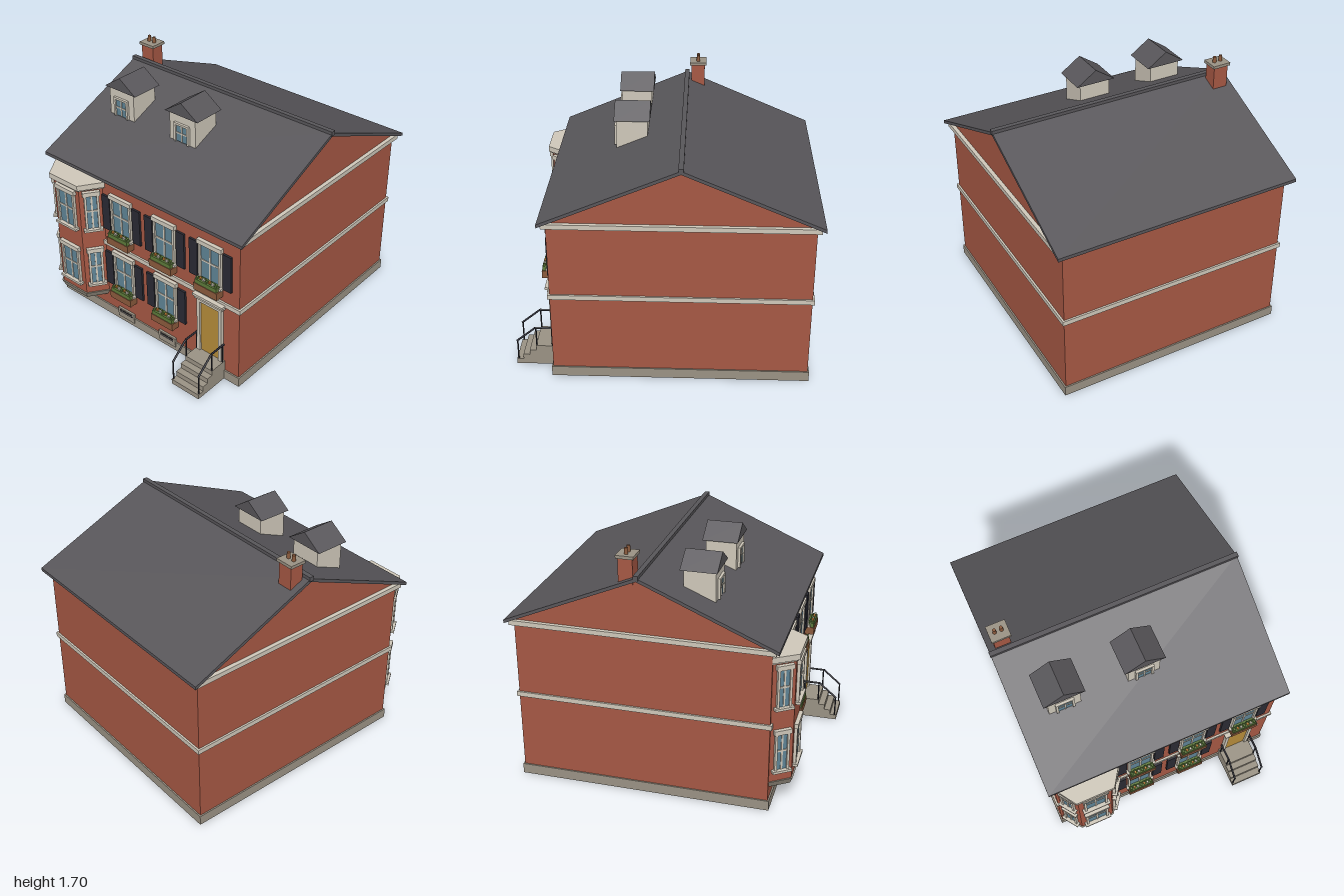
import * as THREE from 'three';

const mat = (name, color) => {
  const m = new THREE.MeshStandardMaterial({ color });
  m.name = name;
  return m;
};

export function createModel() {
  const brick = mat('brick', 0xa65844), trim = mat('cream trim', 0xcfc8ba), slate = mat('slate', 0x58565a);
  const stone = mat('stone', 0x9a9284), glass = mat('glass', 0x5f8496), black = mat('black paint', 0x2a2a33);
  const wood = mat('wood', 0x8a5a3c), leaf = mat('leaf', 0x5d7a3a), ochre = mat('ochre door', 0xb58b3a);
  const bloom = mat('orange bloom', 0xd08a3a);

  const house = new THREE.Group();
  house.name = 'townHouse';
  const WALL = 0.735, MID = -0.105;

  const add = (parent, name, geo, material) => {
    const m = new THREE.Mesh(geo, material);
    m.name = name;
    parent.add(m);
    return m;
  };
  const group = (parent, name, x = 0, y = 0, z = 0, ry = 0) => {
    const g = new THREE.Group();
    g.name = name;
    g.position.set(x, y, z);
    g.rotation.y = ry;
    parent.add(g);
    return g;
  };
  // box given by its limits on each axis
  const box = (parent, name, material, x0, x1, y0, y1, z0, z1) => {
    const m = add(parent, name, new THREE.BoxGeometry(x1 - x0, y1 - y0, z1 - z0), material);
    m.position.set((x0 + x1) / 2, (y0 + y1) / 2, (z0 + z1) / 2);
    return m;
  };
  const extrude = (pts, depth) => new THREE.ExtrudeGeometry(
    new THREE.Shape(pts.map(p => new THREE.Vector2(...p))), { depth, bevelEnabled: false });
  // (z, y) outline extruded across the width
  const acrossX = (parent, name, material, pts, half) => {
    const geo = extrude(pts.map(([z, y]) => [-z, y]), 2 * half).translate(0, 0, -half).rotateY(Math.PI / 2);
    return add(parent, name, geo, material);
  };

  // main walls, gables and stone courses
  box(house, 'walls', brick, -0.805, 0.805, 0.01, 1.15, MID - 0.84, WALL);
  acrossX(house, 'gables', brick, [[WALL, 1.15], [MID, 1.517], [MID - 0.84, 1.15]], 0.805);
  const course = (name, m, out, y0, y1) =>
    box(house, name, m, -0.805 - out, 0.805 + out, y0, y1, MID - 0.84 - out, WALL + out);
  course('plinth', stone, 0.01, 0, 0.07);
  course('beltCourse', trim, 0.013, 0.597, 0.63);
  course('cornice', trim, 0.027, 1.117, 1.15);

  // main roof
  const e = 0.89;
  acrossX(house, 'roof', slate, [[MID + e, 1.16], [MID, 1.54], [MID - e, 1.16],
    [MID - e, 1.137], [MID, 1.517], [MID + e, 1.137]], 0.855);
  box(house, 'ridgeCap', slate, -0.86, 0.86, 1.525, 1.555, MID - 0.016, MID + 0.016);

  // chimney
  const chimney = group(house, 'chimney', -0.757, 0, -0.185);
  box(chimney, 'stack', brick, -0.053, 0.053, 1.44, 1.642, -0.047, 0.047);
  box(chimney, 'chimneyCap', stone, -0.065, 0.065, 1.642, 1.662, -0.058, 0.058);
  for (const x of [-0.023, 0.023]) {
    add(chimney, 'chimneyPot', new THREE.CylinderGeometry(0.011, 0.013, 0.04, 12), wood).position.set(x, 1.682, 0);
  }

  // sash window: origin at the middle of the sill, facing +z
  const sash = (parent, x, y, z, ry, halfGlass, h = 0.26) => {
    const g = group(parent, 'window', x, y, z, ry);
    const f = halfGlass + 0.016;
    box(g, 'glass', glass, -halfGlass, halfGlass, 0, h, 0, 0.008);
    for (const s of [-1, 1]) {
      box(g, 'jamb', trim, Math.min(s * halfGlass, s * f), Math.max(s * halfGlass, s * f), 0, h, 0, 0.02);
    }
    box(g, 'mullion', trim, -0.006, 0.006, 0, h, 0, 0.013);
    box(g, 'meetingRail', trim, -halfGlass, halfGlass, h * 0.53 - 0.006, h * 0.53 + 0.006, 0, 0.013);
    box(g, 'lintel', trim, -f - 0.009, f + 0.009, h, h + 0.032, 0, 0.026);
    box(g, 'sill', trim, -f - 0.015, f + 0.015, -0.017, 0, 0, 0.034);
    return g;
  };

  // planted box below a window
  const planter = (g) => {
    const p = group(g, 'windowBox');
    box(p, 'trough', wood, -0.096, 0.096, -0.075, -0.022, 0, 0.062);
    box(p, 'foliage', leaf, -0.088, 0.088, -0.022, 0.008, 0.01, 0.058);
    for (let i = 0; i < 7; i++) {
      const x = -0.075 + i * 0.025, y = 0.006 + (i * 5 % 3) * 0.004;
      const bush = add(p, 'leafTuft', new THREE.IcosahedronGeometry(0.014, 0), leaf);
      bush.position.set(x, y, 0.034);
      const m = i % 3 === 1 ? bloom : i % 3 === 2 ? trim : leaf;
      box(p, 'flower', m, x - 0.007, x + 0.007, y + 0.003, y + 0.017, 0.038, 0.052);
    }
  };

  // flat front windows with shutters
  for (const [x, y] of [[-0.195, 0.287], [0.19, 0.287], [-0.195, 0.742], [0.19, 0.742], [0.575, 0.742]]) {
    const g = sash(house, x, y, WALL, 0, 0.074);
    planter(g);
    for (const s of [-1, 1]) {
      box(g, 'shutter', black, s * 0.137 - 0.034, s * 0.137 + 0.034, -0.008, 0.26, 0, 0.015);
    }
  }

  // canted bay: plan grown outward by o, bottom scaled by taper
  const BX = -0.578;
  const bay = group(house, 'bay', BX, 0, WALL);
  const bayPrism = (name, m, o, y0, y1, taper = 1) => {
    const a = 0.118 + o * 0.6, b = 0.21 + o, d = 0.13 + o;
    const geo = extrude([[-b, 0], [-a, -d], [a, -d], [b, 0]], y1 - y0).rotateX(-Math.PI / 2);
    const p = geo.attributes.position;
    for (let i = 0; i < p.count; i++) {
      if (p.getY(i) < 1e-4) p.setXYZ(i, p.getX(i) * taper, p.getY(i), p.getZ(i) * taper);
    }
    geo.computeVertexNormals();
    add(bay, name, geo, m).position.y = y0;
  };
  bayPrism('bayBase', stone, 0.01, 0.152, 0.2, 0.87);
  bayPrism('bayWalls', brick, 0, 0.2, 1.05);
  bayPrism('bayCap', trim, 0.024, 1.058, 1.097);
  bayPrism('bayCapMould', trim, 0.012, 1.045, 1.058);
  const cant = Math.atan2(0.13, 0.092);
  for (const y of [0.287, 0.742]) {
    sash(bay, 0, y, 0.13, 0, 0.066);
    for (const s of [-1, 1]) sash(bay, s * 0.164, y, 0.065, s * cant, 0.034);
  }

  // front door
  const door = group(house, 'entrance', 0.575, 0, WALL);
  box(door, 'doorLeaf', ochre, -0.08, 0.08, 0.145, 0.55, 0, 0.012);
  for (const x of [-0.09, 0.09]) box(door, 'doorJamb', trim, x - 0.012, x + 0.012, 0.145, 0.572, 0, 0.026);
  box(door, 'doorHead', trim, -0.08, 0.08, 0.55, 0.572, 0, 0.026);
  box(door, 'doorLintel', trim, -0.115, 0.115, 0.572, 0.595, 0, 0.033);
  box(door, 'doorHood', trim, -0.125, 0.125, 0.595, 0.612, 0, 0.045);

  // stoop
  [[0, 0.13, 0.146], [0.13, 0.175, 0.11], [0.175, 0.22, 0.073], [0.22, 0.265, 0.036]].forEach(([z0, z1, h]) =>
    box(door, 'step', stone, -0.115, 0.115, 0, h, z0, z1));

  // railings
  const bar = (g, a, b, r = 0.005) => {
    const v0 = new THREE.Vector3(...a), v1 = new THREE.Vector3(...b);
    const m = add(g, 'railBar', new THREE.CylinderGeometry(r, r, v0.distanceTo(v1), 8), black);
    m.position.copy(v0).add(v1).divideScalar(2);
    m.quaternion.setFromUnitVectors(new THREE.Vector3(0, 1, 0), v1.sub(v0).normalize());
  };
  for (const x of [-0.109, 0.109]) {
    const g = group(door, 'railing', x);
    bar(g, [0, 0.285, 0.005], [0, 0.285, 0.13], 0.007);
    bar(g, [0, 0.285, 0.13], [0, 0.178, 0.258], 0.007);
    bar(g, [0, 0.146, 0.02], [0, 0.285, 0.02]);
    bar(g, [0, 0.146, 0.125], [0, 0.285, 0.125]);
    bar(g, [0, 0.02, 0.253], [0, 0.18, 0.253]);
  }

  // cellar vents
  for (const x of [-0.195, 0.19]) {
    const v = group(house, 'cellarVent', x, 0, WALL);
    box(v, 'ventSurround', stone, -0.076, 0.076, 0.03, 0.102, 0, 0.016);
    box(v, 'ventOpening', black, -0.058, 0.058, 0.07, 0.092, 0.012, 0.018);
    box(v, 'ventSlat', stone, -0.056, 0.056, 0.079, 0.083, 0.012, 0.021);
  }

  // dormers
  for (const x of [-0.545, 0]) {
    const d = group(house, 'dormer', x);
    // cheeks follow the roof slope at the bottom
    acrossX(d, 'dormerBody', trim, [[0.343, 1.34], [0.343, 1.555], [0.137, 1.555], [0.137, 1.42]], 0.11);
    add(d, 'dormerRoof', extrude([[-0.14, 1.55], [0.14, 1.55], [0, 1.645]], 0.237), slate).position.z = 0.12;
    box(d, 'dormerGlass', glass, -0.047, 0.047, 1.355, 1.475, 0.343, 0.35);
    for (const s of [-0.055, 0.055]) box(d, 'dormerJamb', trim, s - 0.008, s + 0.008, 1.352, 1.49, 0.343, 0.36);
    box(d, 'dormerHead', trim, -0.047, 0.047, 1.475, 1.49, 0.343, 0.36);
    box(d, 'dormerMullion', trim, -0.005, 0.005, 1.355, 1.475, 0.343, 0.354);
    box(d, 'dormerRail', trim, -0.047, 0.047, 1.413, 1.423, 0.343, 0.354);
  }
  return house;
}
